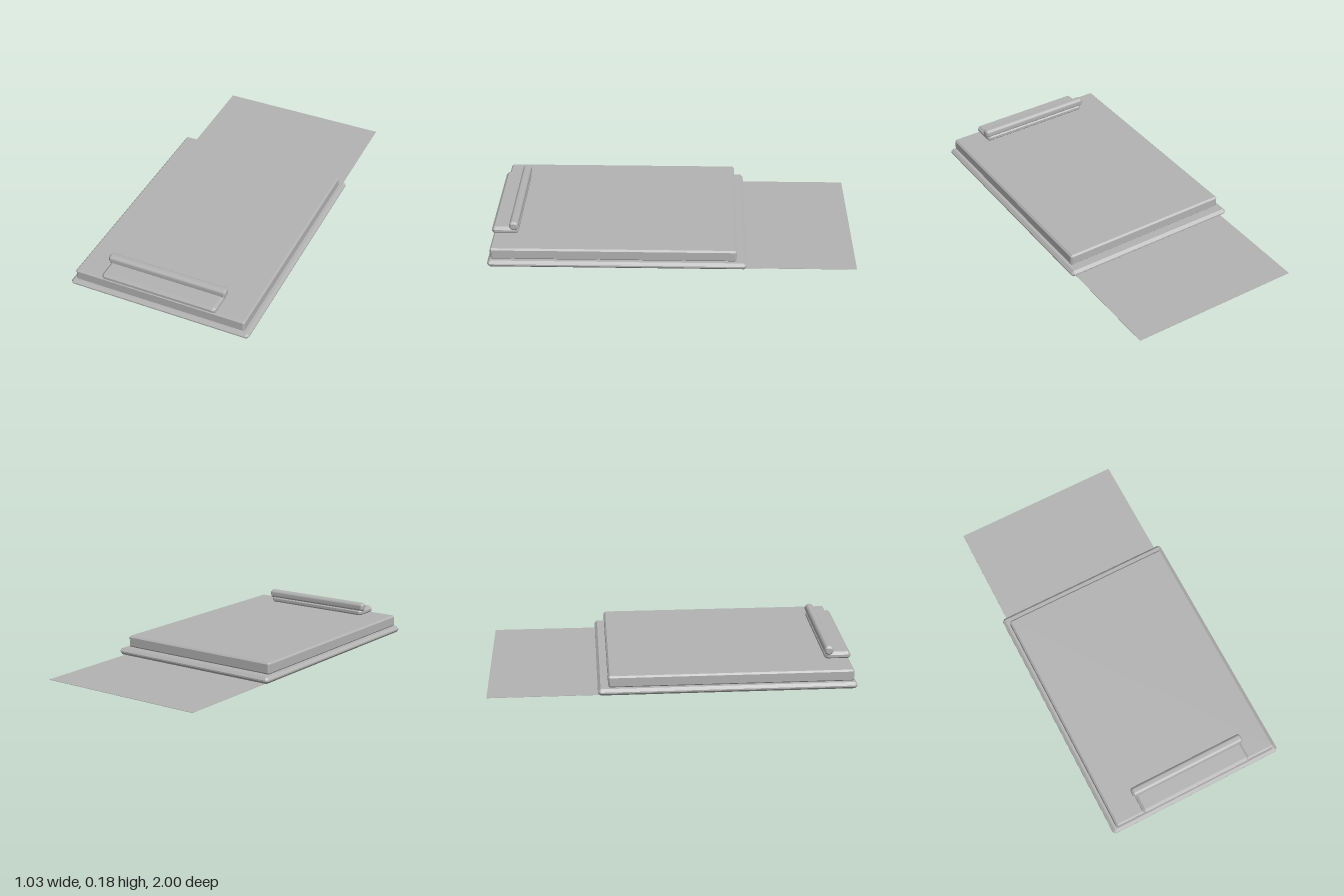
import * as THREE from 'three';
import { toCreasedNormals } from 'three/addons/utils/BufferGeometryUtils.js';
import { ConvexGeometry } from 'three/addons/geometries/ConvexGeometry.js';

const gray = new THREE.MeshStandardMaterial({ color: 0xb2b2b2 });
gray.name = 'plain gray';

// Box with chamfered edges: every corner becomes three points
function chamferBox(w, h, d, c) {
  const points = [];
  for (const sx of [-1, 1]) for (const sy of [-1, 1]) for (const sz of [-1, 1]) {
    const x = w / 2, y = h / 2, z = d / 2;
    points.push(
      new THREE.Vector3(sx * x, sy * (y - c), sz * (z - c)),
      new THREE.Vector3(sx * (x - c), sy * y, sz * (z - c)),
      new THREE.Vector3(sx * (x - c), sy * (y - c), sz * z));
  }
  return new ConvexGeometry(points);
}

export function createModel() {
  const model = new THREE.Group();
  model.name = 'clipboard';

  const add = (name, geometry, x, y, z) => {
    const mesh = new THREE.Mesh(geometry, gray);
    mesh.name = name;
    mesh.position.set(x, y, z);
    model.add(mesh);
    return mesh;
  };

  // Loose sheet lying under the board and reaching out behind it
  add('looseSheet', new THREE.BoxGeometry(0.97, 0.002, 1.32), 0, 0.001, -0.34);

  // Backing board and the stack of paper on it
  add('board', chamferBox(1.03, 0.037, 1.405, 0.0145), 0, 0.0225, 0.2975);
  add('paperStack', chamferBox(0.976, 0.066, 1.333, 0.009), 0, 0.073, 0.317);

  // Clip plate
  add('clipBase', chamferBox(0.656, 0.043, 0.145, 0.0145), 0, 0.1215, 0.9195);

  // Round clip bar with chamfered ends
  const r = 0.026, half = 0.338, c = 0.01;
  const profile = [[0, -half], [r - c, -half], [r, -half + c], [r, half - c], [r - c, half], [0, half]]
    .map(([x, y]) => new THREE.Vector2(x, y));
  const bar = add('clipBar', toCreasedNormals(new THREE.LatheGeometry(profile, 32), 0.6), 0, 0.156, 0.869);
  bar.rotation.z = Math.PI / 2;

  return model;
}
